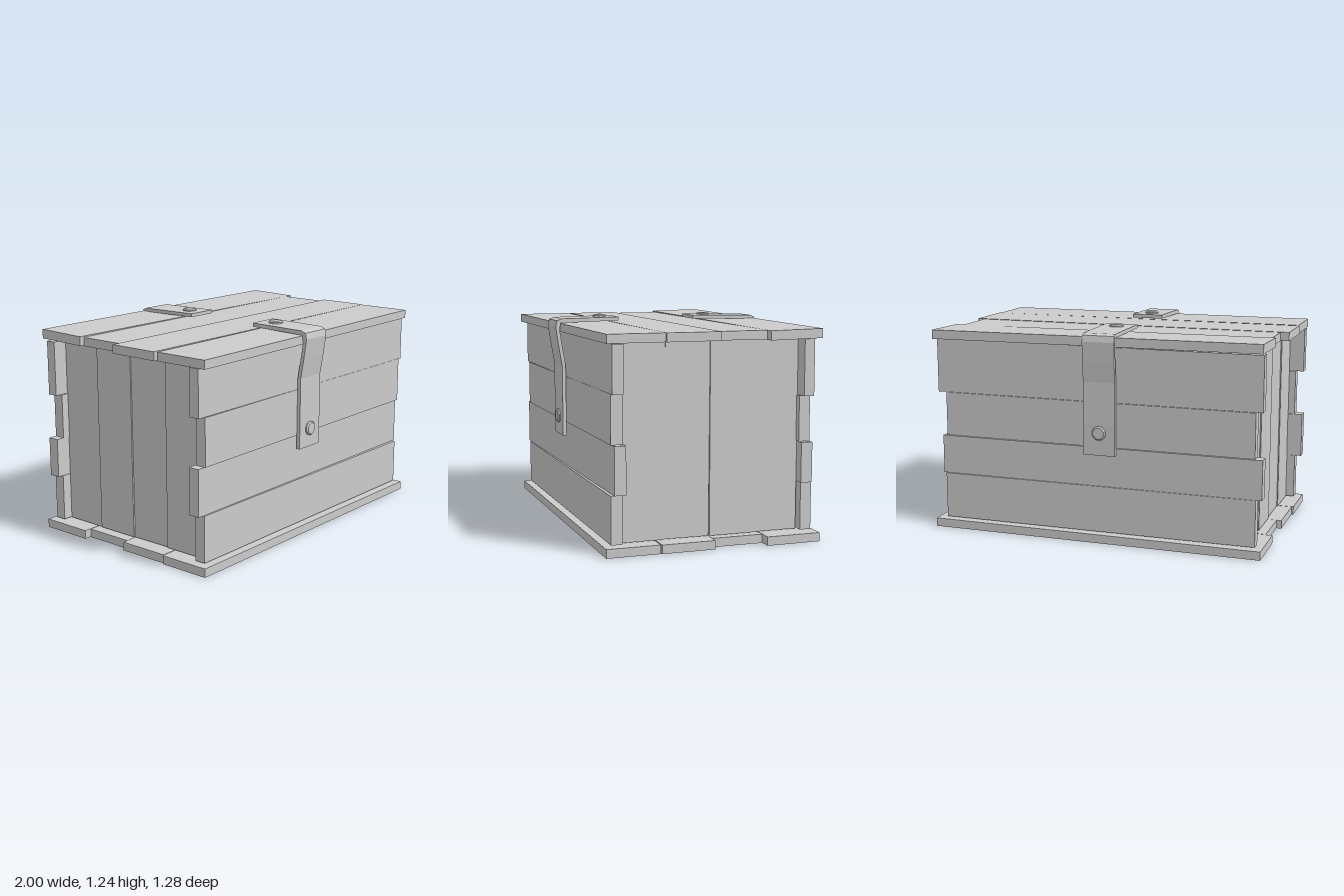
import * as THREE from 'three';

const material = new THREE.MeshStandardMaterial({ color: 0xcccccc, flatShading: true });

// Board given by its extents, with a slight yaw / roll for a hand-built look
function plank(name, [x0, x1], [y0, y1], [z0, z1], yaw = 0, tilt = 0, roll = 0) {
  const mesh = new THREE.Mesh(new THREE.BoxGeometry(x1 - x0, y1 - y0, z1 - z0), material);
  mesh.position.set((x0 + x1) / 2, (y0 + y1) / 2, (z0 + z1) / 2);
  mesh.rotation.set(tilt, yaw, roll);
  mesh.name = name;
  return mesh;
}

function group(name, parts) {
  const g = new THREE.Group();
  g.name = name;
  g.add(...parts);
  return g;
}

// Low domed rivet pointing up
function rivet() {
  const profile = [[0, -0.01], [0.042, -0.01], [0.042, 0.008], [0.034, 0.015], [0, 0.015]];
  const geometry = new THREE.LatheGeometry(profile.map(([r, y]) => new THREE.Vector2(r, y)), 10);
  const mesh = new THREE.Mesh(geometry, material);
  mesh.name = 'rivet';
  return mesh;
}

// Bent metal strap: side profile in (z, y), extruded across x; side is +1 front, -1 back
function strap(name, outline, side, topRivet, faceRivet) {
  const shape = new THREE.Shape(outline.map(([z, y]) => new THREE.Vector2(side * z, y)));
  const geometry = new THREE.ExtrudeGeometry(shape, { depth: 0.19, bevelEnabled: false });
  geometry.rotateY(-Math.PI / 2);
  const band = new THREE.Mesh(geometry, material);
  band.position.x = 0.05;
  band.name = 'band';
  const top = rivet();
  top.position.set(-0.045, topRivet[1], side * topRivet[0]);
  const face = rivet();
  face.rotation.x = side * Math.PI / 2;
  face.position.set(-0.045, faceRivet[1], side * faceRivet[0]);
  return group(name, [band, top, face]);
}

export function createModel() {
  const root = new THREE.Group();
  root.name = 'woodenChest';

  // Floor boards, front to back
  const floorY = [0, 0.05];
  root.add(group('floor', [
    plank('floorPlank', [-0.99, 0.975], floorY, [0.303, 0.61]),
    plank('floorPlank', [-0.98, 0.98], floorY, [-0.01, 0.298]),
    plank('floorPlank', [-0.95, 0.93], floorY, [-0.308, -0.012]),
    plank('floorPlank', [-0.99, 1.0], floorY, [-0.63, -0.312]),
  ]));

  // Front boards, bottom to top
  root.add(group('frontWall', [
    plank('frontPlank', [-0.95, 0.94], [0.06, 0.328], [0.508, 0.573]),
    plank('frontPlank', [-0.99, 0.955], [0.33, 0.597], [0.497, 0.563], 0.006),
    plank('frontPlank', [-0.94, 0.95], [0.6, 0.872], [0.51, 0.575], 0, 0, 0.003),
    plank('frontPlank', [-0.99, 0.975], [0.872, 1.138], [0.51, 0.573]),
  ]));

  // Back boards, bottom to top
  root.add(group('backWall', [
    plank('backPlank', [-0.95, 0.94], [0.06, 0.33], [-0.598, -0.533], 0.003),
    plank('backPlank', [-0.985, 0.955], [0.332, 0.56], [-0.597, -0.53]),
    plank('backPlank', [-0.94, 0.93], [0.562, 0.82], [-0.59, -0.525]),
    plank('backPlank', [-0.98, 0.98], [0.822, 1.138], [-0.59, -0.53]),
  ]));

  // Upright end boards on both sides
  const joints = [0.51, 0.255, -0.004, -0.268, -0.53];
  for (const side of [1, -1]) {
    const boards = [];
    for (let i = 0; i < 4; i++) {
      const out = 0.9 - 0.006 * (i % 2);
      const xs = side > 0 ? [out - 0.06, out] : [-out, 0.06 - out];
      boards.push(plank('endPlank', xs, [0.058, 1.138],
        [joints[i + 1] + 0.001, joints[i] - 0.001], 0, i === 1 ? -0.004 : 0));
    }
    root.add(group(side > 0 ? 'leftWall' : 'rightWall', boards));
  }

  // Lid boards, front to back
  root.add(group('lid', [
    plank('lidPlank', [-0.99, 0.97], [1.14, 1.19], [0.281, 0.608], 0.008),
    plank('lidPlank', [-1.0, 0.98], [1.14, 1.19], [-0.037, 0.272]),
    plank('lidPlank', [-0.95, 0.938], [1.138, 1.188], [-0.32, -0.04], 0.003),
    plank('lidPlank', [-0.98, 0.99], [1.142, 1.195], [-0.628, -0.318], 0.004, 0.02, -0.004),
  ]));

  // Metal straps folded over the lid edges
  root.add(strap('frontStrap', [
    [0.25, 1.2], [0.25, 1.222], [0.6, 1.217], [0.63, 1.206], [0.638, 1.17], [0.622, 1.06],
    [0.601, 0.94], [0.6, 0.52], [0.578, 0.52], [0.58, 0.94], [0.6, 1.06], [0.614, 1.15], [0.608, 1.192],
  ], 1, [0.345, 1.22], [0.6, 0.63]));
  root.add(strap('backStrap', [
    [0.225, 1.202], [0.225, 1.223], [0.61, 1.217], [0.63, 1.206], [0.639, 1.17], [0.634, 1.06],
    [0.624, 0.94], [0.629, 0.7], [0.627, 0.52], [0.605, 0.52], [0.607, 0.7], [0.602, 0.94],
    [0.613, 1.06], [0.62, 1.16], [0.612, 1.196],
  ], -1, [0.325, 1.22], [0.624, 0.65]));

  return root;
}
